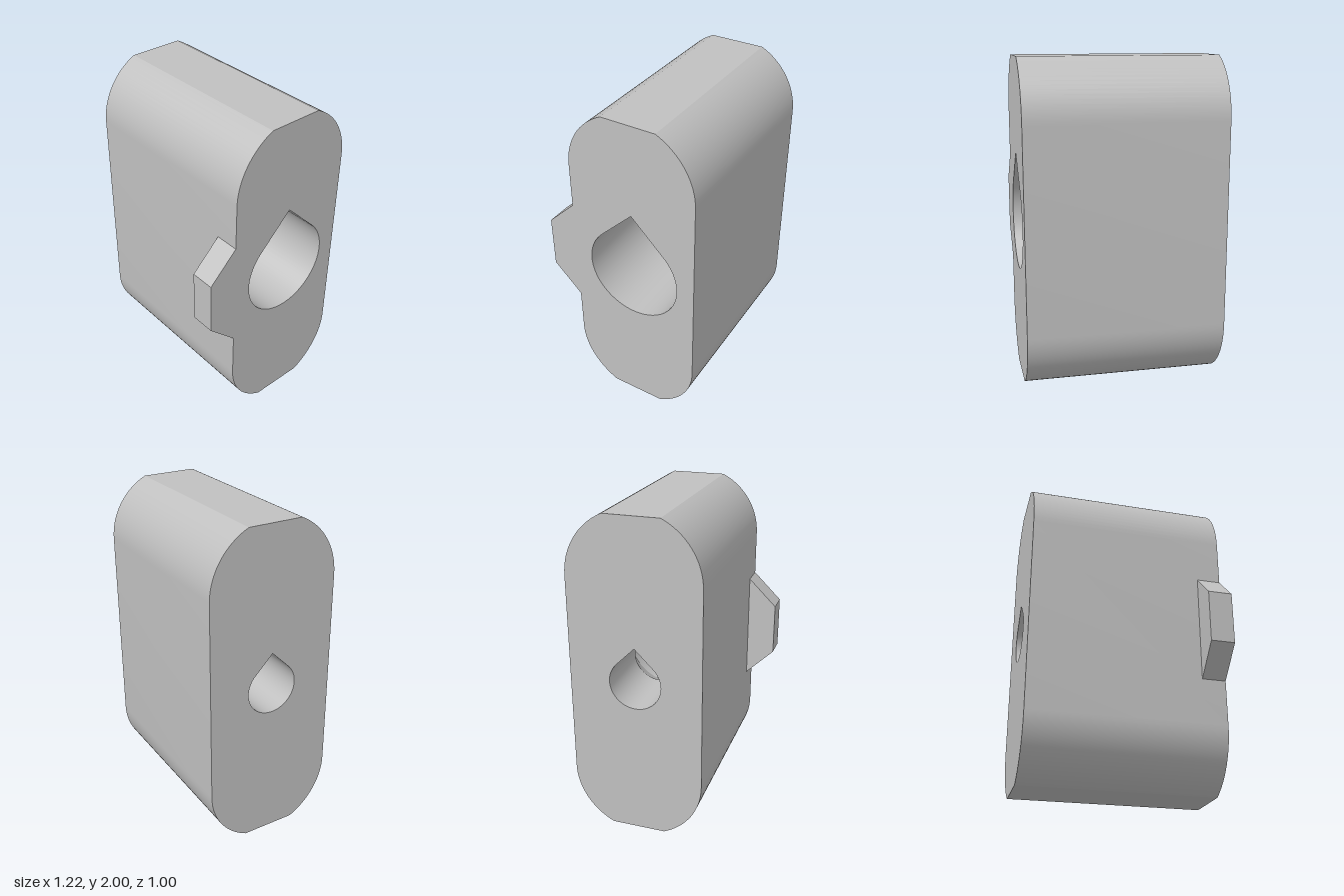
import * as THREE from 'three';
import { toCreasedNormals } from 'three/addons/utils/BufferGeometryUtils.js';

const HALF = 0.61;      // half length along x
const BORE_R = 0.298;   // wide bore
const HOLE_R = 0.16;    // narrow through hole
const FLOOR = 0.05;     // x where the wide bore ends
const NECK = -0.2;      // x where the funnel meets the narrow hole
const CU = 0.09, CV = 1; // centre of the section (u = -z, v = y)

// Circle, or teardrop with a 45 degree tip at the top
function ring(r, tip) {
  const pts = [];
  for (let d = 0; d < 360; d += 5) {
    const a = THREE.MathUtils.degToRad(d);
    let k = r;
    if (tip && d > 45 && d < 135) k = r / Math.cos(a - (d <= 90 ? Math.PI / 4 : Math.PI * 0.75));
    pts.push(new THREE.Vector2(CU + k * Math.cos(a), CV + k * Math.sin(a)));
  }
  return pts;
}

// Rounded upright section with flattened top and bottom
function bodyOutline() {
  const r = 0.41, cy = 0.627, end = Math.acos(0.17 / r), n = 16, pts = [];
  const arc = (dy, from, to) => {
    for (let i = 0; i <= n; i++) {
      const a = from + (to - from) * i / n;
      pts.push(new THREE.Vector2(CU + r * Math.cos(a), CV + dy + r * Math.sin(a)));
    }
  };
  arc(cy, 0, end);
  arc(cy, Math.PI - end, Math.PI);
  arc(-cy, Math.PI, Math.PI + end);
  arc(-cy, -end, 0);
  return pts;
}

// Wall joining two matching rings at depths d0 < d1
function wall(p0, d0, p1, d1, inward) {
  const pos = [];
  const n = p0.length;
  for (let i = 0; i < n; i++) {
    const j = (i + 1) % n;
    const a0 = [p0[i].x, p0[i].y, d0], b0 = [p0[j].x, p0[j].y, d0];
    const a1 = [p1[i].x, p1[i].y, d1], b1 = [p1[j].x, p1[j].y, d1];
    if (inward) pos.push(...a0, ...b1, ...b0, ...a0, ...a1, ...b1);
    else pos.push(...a0, ...b0, ...b1, ...a0, ...b1, ...a1);
  }
  const g = new THREE.BufferGeometry();
  g.setAttribute('position', new THREE.Float32BufferAttribute(pos, 3));
  return toCreasedNormals(g, 0.3);
}

// Flat face, optionally pierced, at a given depth
function face(points, hole, depth, flip) {
  const s = new THREE.Shape(points);
  if (hole) s.holes.push(new THREE.Path(hole));
  const g = new THREE.ShapeGeometry(s);
  g.translate(0, 0, depth);
  if (flip) {
    g.index.array.reverse();
    g.computeVertexNormals();
  }
  return g;
}

export function createModel() {
  const group = new THREE.Group();
  group.name = 'keyedBlock';
  const grey = new THREE.MeshStandardMaterial({ color: 0xc0c0c0 });
  grey.name = 'plain grey';
  const add = (name, geometry) => {
    geometry.rotateY(Math.PI / 2); // depth becomes x, u becomes -z
    const m = new THREE.Mesh(geometry, grey);
    m.name = name;
    group.add(m);
  };

  const outline = bodyOutline();
  const bore = ring(BORE_R, true);
  const circle = ring(BORE_R, false);
  const hole = ring(HOLE_R, true);

  // Block shell and its two pierced ends
  add('blockSides', wall(outline, -HALF, outline, HALF, false));
  add('wideEnd', face(outline, bore, HALF, false));
  add('narrowEnd', face(outline, hole, -HALF, true));

  // Stepped passage: wide bore, flat tip ledge, funnel, narrow hole
  add('wideBore', wall(bore, FLOOR, bore, HALF, true));
  add('boreLedge', face([...bore.slice(9, 28), ...circle.slice(10, 27).reverse()], null, FLOOR, false));
  add('funnel', wall(hole, NECK, circle, FLOOR, true));
  add('narrowHole', wall(hole, -HALF, hole, NECK, true));

  // Tapered locating key on the front
  const key = new THREE.Shape([[-0.32, 0.66], [-0.32, 1.345], [-0.5, 1.168], [-0.5, 0.837]]
    .map(([u, v]) => new THREE.Vector2(u, v)));
  const keyGeometry = new THREE.ExtrudeGeometry(key, { depth: 0.15, bevelEnabled: false });
  keyGeometry.translate(0, 0, HALF - 0.15);
  add('locatingKey', keyGeometry);

  return group;
}
